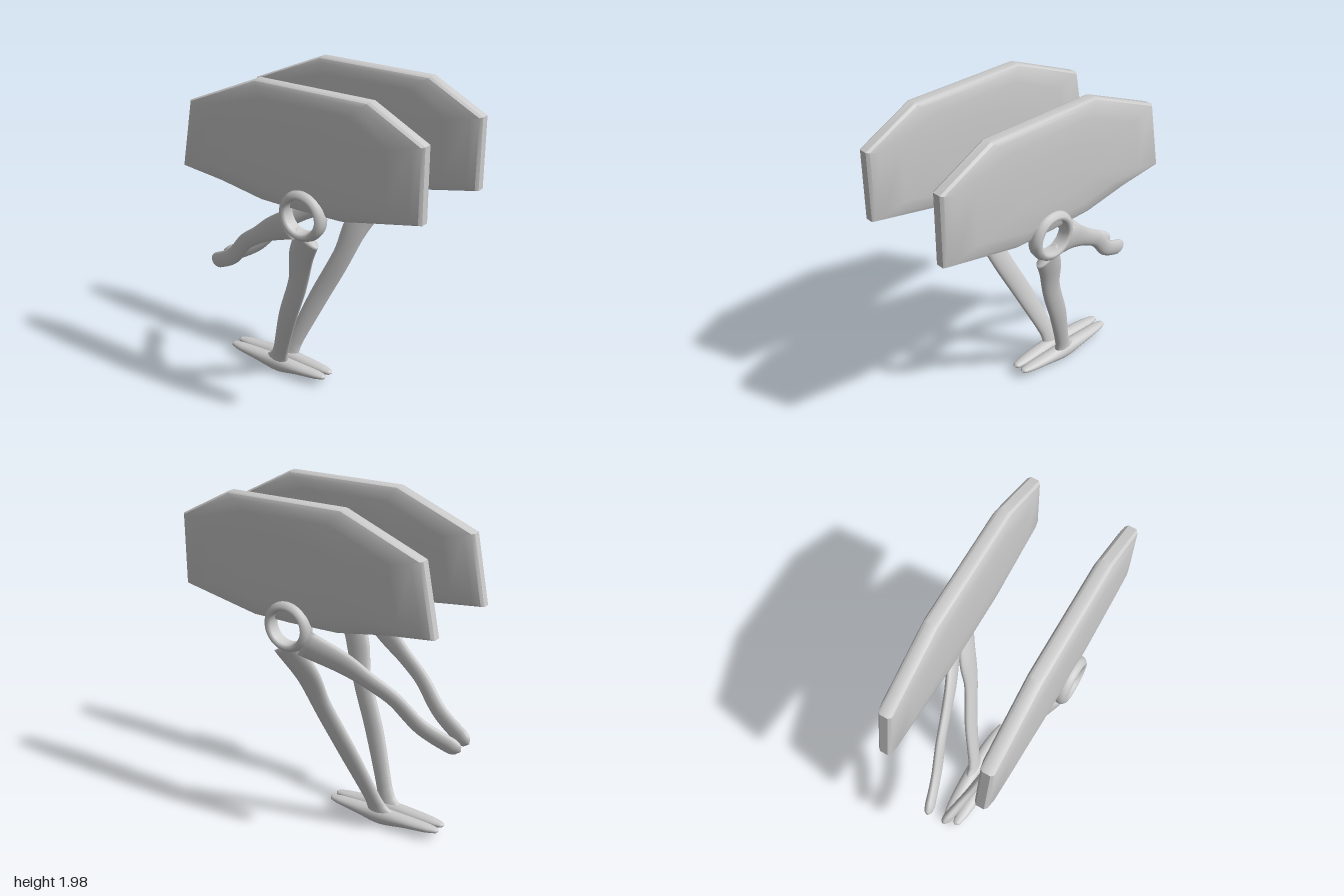
import * as THREE from 'three';
import { toCreasedNormals } from 'three/addons/utils/BufferGeometryUtils.js';

const material = new THREE.MeshStandardMaterial({ color: 0xcccccc });

// Skin a list of closed rings (each an array of Vector3, counterclockwise about the loft direction)
function loft(rings) {
  const n = rings[0].length;
  const positions = [];
  const index = [];
  rings.forEach((ring) => ring.forEach((p) => positions.push(p.x, p.y, p.z)));
  for (let i = 0; i < rings.length - 1; i++) {
    for (let j = 0; j < n; j++) {
      const a = i * n + j;
      const c = i * n + ((j + 1) % n);
      index.push(a, c, a + n, a + n, c, c + n);
    }
  }
  const geometry = new THREE.BufferGeometry();
  geometry.setAttribute('position', new THREE.Float32BufferAttribute(positions, 3));
  geometry.setIndex(index);
  geometry.computeVertexNormals();
  return geometry;
}

// Oval limb through stations [x, y, z, half width in the side plane, half thickness in z]
function limb(stations, side, steps = 48, sides = 20) {
  const mid = new THREE.CatmullRomCurve3(stations.map(([x, y, z]) => new THREE.Vector3(x, y, z * side)));
  const size = new THREE.CatmullRomCurve3(stations.map((s) => new THREE.Vector3(s[3], s[4], 0)));
  const rings = [];
  const oval = (c, t, a, b) => {
    const len = Math.hypot(t.x, t.y);
    return Array.from({ length: sides }, (_, j) => {
      const q = (j / sides) * Math.PI * 2;
      const w = Math.cos(q) * a;
      return new THREE.Vector3(c.x - (t.y / len) * w, c.y + (t.x / len) * w, c.z + Math.sin(q) * b);
    });
  };
  for (let i = 0; i <= steps; i++) {
    const u = i / steps;
    const c = mid.getPoint(u);
    const s = size.getPoint(u);
    const t = mid.getTangent(u);
    if (i === 0) rings.push(oval(c, t, 0, 0));
    rings.push(oval(c, t, Math.max(s.x, 0), Math.max(s.y, 0)));
    if (i === steps) rings.push(oval(c, t, 0, 0));
  }
  return loft(rings);
}

// Large side plate: thin rim, swelling gently toward the middle
function panelGeometry() {
  const outline = [
    [-0.79, 1.39], [-0.5, 1.36], [-0.2, 1.31], [0.1, 1.305], [0.35, 1.31], [0.84, 1.41],
    [0.84, 1.83], [0.51, 2.0], [-0.23, 2.0], [-0.71, 1.8],
  ];
  const cx = 0.03, cy = 1.65;
  // [scale of the outline, half thickness]
  const half = [[0, 0.066], [0.4, 0.065], [0.75, 0.06], [0.92, 0.05], [0.98, 0.039], [1, 0.024]];
  const profile = [
    ...half.map(([k, z]) => [k, -z]),
    ...half.slice().reverse(),
  ];
  const rings = profile.map(([k, z]) =>
    outline.map(([x, y]) => new THREE.Vector3(cx + (x - cx) * k, cy + (y - cy) * k, z)));
  return toCreasedNormals(loft(rings), 0.6);
}

// Round-edged hip collar, open through the middle
function ringGeometry() {
  const profile = [
    [0.1, -0.04], [0.125, -0.045], [0.145, -0.03], [0.15, 0], [0.143, 0.025],
    [0.125, 0.042], [0.108, 0.042], [0.1, 0.03], [0.098, 0], [0.1, -0.04],
  ].map(([r, h]) => new THREE.Vector2(r, h));
  return new THREE.LatheGeometry(profile, 40).rotateX(Math.PI / 2);
}

const legStations = [
  [0.13, 1.17, 0.345, 0.085, 0.036],
  [0.035, 1.0, 0.28, 0.083, 0.033],
  [-0.03, 0.8, 0.225, 0.066, 0.03],
  [-0.165, 0.5, 0.155, 0.064, 0.03],
  [-0.285, 0.2, 0.075, 0.054, 0.029],
  [-0.31, 0.13, 0.057, 0.062, 0.03],
  [-0.325, 0.08, 0.047, 0.1, 0.036],
];

const armStations = [
  [0.0, 1.21, 0.34, 0.088, 0.036],
  [-0.2, 1.1, 0.25, 0.07, 0.03],
  [-0.34, 1.01, 0.205, 0.052, 0.027],
  [-0.47, 0.92, 0.165, 0.049, 0.026],
  [-0.62, 0.765, 0.115, 0.051, 0.027],
  [-0.78, 0.675, 0.068, 0.052, 0.03],
  [-0.825, 0.655, 0.058, 0.037, 0.022],
  [-0.843, 0.645, 0.054, 0, 0],
];

const footStations = [
  [-0.72, 0.078, 0.036, 0, 0],
  [-0.705, 0.078, 0.036, 0.014, 0.022],
  [-0.64, 0.077, 0.039, 0.025, 0.037],
  [-0.5, 0.075, 0.044, 0.036, 0.046],
  [-0.33, 0.067, 0.047, 0.052, 0.05],
  [-0.18, 0.075, 0.044, 0.036, 0.046],
  [-0.04, 0.077, 0.037, 0.024, 0.035],
  [0.015, 0.078, 0.034, 0.014, 0.022],
  [0.03, 0.078, 0.034, 0, 0],
];

export function createModel() {
  const model = new THREE.Group();
  model.name = 'walkerWithPanels';

  for (const side of [1, -1]) {
    const half = new THREE.Group();
    half.name = side > 0 ? 'frontHalf' : 'backHalf';
    const add = (name, geometry, x = 0, y = 0, z = 0) => {
      const mesh = new THREE.Mesh(geometry, material);
      mesh.name = name;
      mesh.position.set(x, y, z);
      half.add(mesh);
      return mesh;
    };

    add('panel', panelGeometry(), 0, 0, 0.297 * side);
    const ring = add('hipRing', ringGeometry(), 0.105, 1.295, 0.352 * side);
    if (side < 0) ring.rotation.y = Math.PI;
    add('leg', limb(legStations, side));
    add('arm', limb(armStations, side));
    add('foot', limb(footStations, side));
    model.add(half);
  }
  return model;
}
